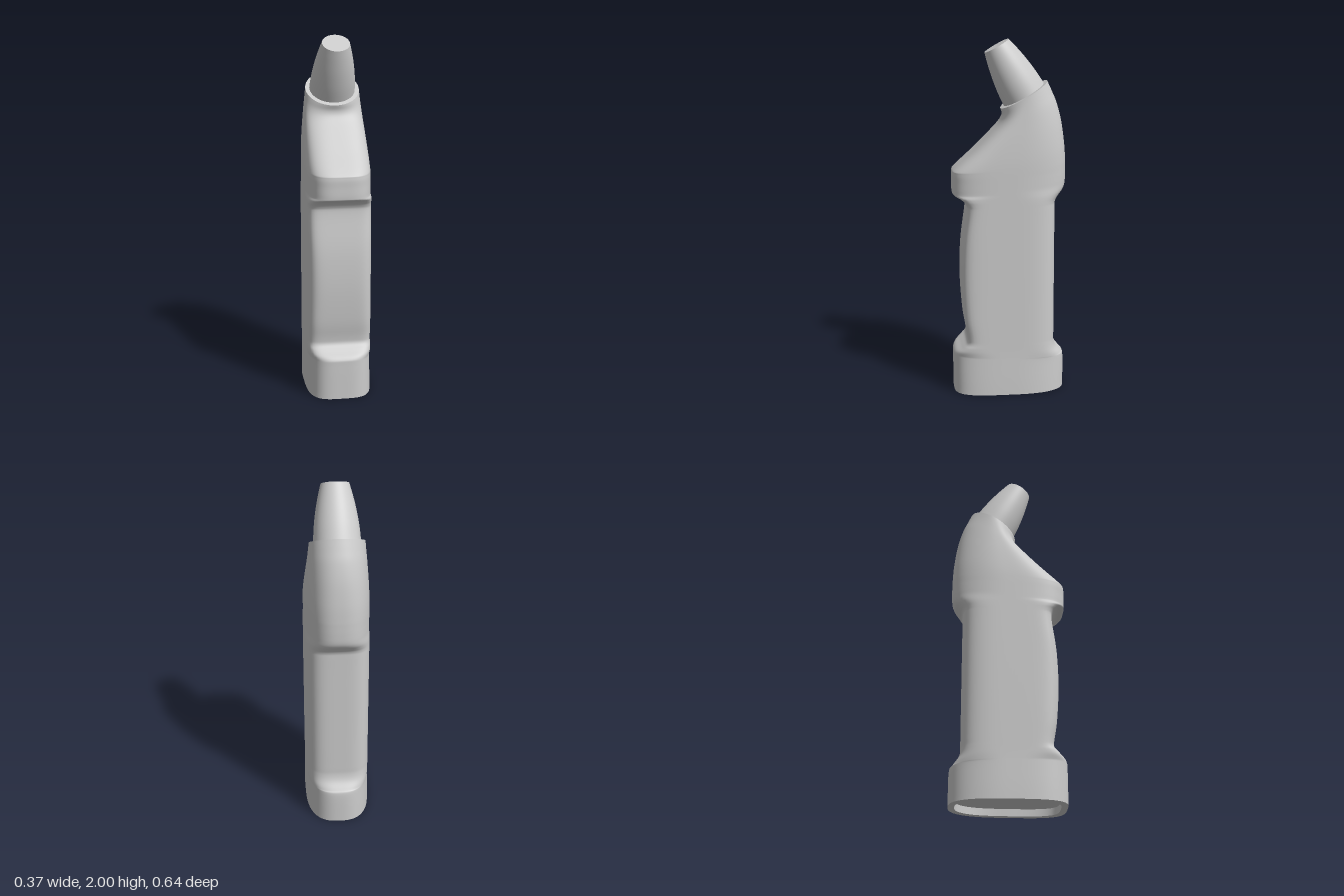
import * as THREE from 'three';

const SIDES = 112;
const { clamp, smoothstep } = THREE.MathUtils;

// Side profile going up: [front y, front z, back y, back z]
const profile = [
  [0, 0.32, 0, -0.315],
  [0.19, 0.32, 0.18, -0.314],
  [0.235, 0.315, 0.21, -0.30],
  [0.27, 0.275, 0.25, -0.268],
  [0.30, 0.246, 0.29, -0.255],
  [0.34, 0.245, 0.34, -0.254],
  [0.45, 0.262, 0.45, -0.254],
  [0.65, 0.275, 0.65, -0.254],
  [0.85, 0.269, 0.85, -0.254],
  [1.05, 0.243, 1.06, -0.254],
  [1.10, 0.247, 1.11, -0.256],
  [1.13, 0.275, 1.14, -0.275],
  [1.148, 0.313, 1.17, -0.301],
  [1.165, 0.32, 1.20, -0.314],
  [1.22, 0.32, 1.25, -0.317],
  [1.27, 0.319, 1.30, -0.317],
  [1.295, 0.304, 1.34, -0.316],
  [1.39, 0.20, 1.43, -0.31],
  [1.485, 0.105, 1.55, -0.293],
  [1.545, 0.052, 1.65, -0.267],
  [1.585, 0.036, 1.715, -0.24],
  [1.62, 0.045, 1.77, -0.215],
];

// One ring of points: a squared oval, boxier where the grip is recessed, round at the collar
function ring([yf, zf, yb, zb], inset = 0) {
  const hood = clamp((yf - 1.25) / 0.37, 0, 1);
  const grip = yf < 1.2 ? 1 : 0;
  const frontPower = 3.7 - 1.7 * hood ** 3 + grip * 4.3 * clamp((0.32 - zf) / 0.06, 0, 1);
  const backPower = 2.65 - 0.65 * hood ** 2 + grip * 1.35 * clamp((0.315 + zb) / 0.06, 0, 1);
  const width = 0.184 - 0.005 * smoothstep(yf, 0, 0.3) - 0.029 * hood ** 2 - inset;
  const zc = -0.085 * hood;
  return Array.from({ length: SIDES }, (_, j) => {
    const a = (j / SIDES) * Math.PI * 2;
    const s = Math.sin(a), c = Math.cos(a);
    const n = c > 0 ? frontPower : backPower;
    const r = (Math.abs(s) ** n + Math.abs(c) ** n) ** (-1 / n);
    const z = zc + r * c * (c > 0 ? zf - inset - zc : zc - zb - inset);
    return new THREE.Vector3(width * r * s, yb + ((yf - yb) * (z - zb)) / (zf - zb), z);
  });
}

const collapsed = (y, z) => Array.from({ length: SIDES }, () => new THREE.Vector3(0, y, z));

// Skin between successive closed rings
function loft(rings) {
  const index = [];
  for (let i = 0; i < rings.length - 1; i++) {
    for (let j = 0; j < SIDES; j++) {
      const a = i * SIDES + j, b = i * SIDES + ((j + 1) % SIDES);
      index.push(a, b, b + SIDES, a, b + SIDES, a + SIDES);
    }
  }
  const geo = new THREE.BufferGeometry().setFromPoints(rings.flat());
  geo.setIndex(index);
  geo.computeVertexNormals();
  return geo;
}

// Rings smoothly interpolated along the front and back profile curves
function bodyRings(steps) {
  const curve = (k) => new THREE.CatmullRomCurve3(
    profile.map((p) => new THREE.Vector3(0, p[k], p[k + 1])), false, 'catmullrom', 0.5);
  const front = curve(0), back = curve(2);
  return Array.from({ length: steps + 1 }, (_, i) => {
    const f = front.getPoint(i / steps), b = back.getPoint(i / steps);
    return ring([f.y, f.z, b.y, b.z]);
  });
}

export function createModel() {
  const group = new THREE.Group();
  const material = new THREE.MeshStandardMaterial({ color: 0xcccccc });
  const add = (name, geometry, parent = group) => {
    const mesh = new THREE.Mesh(geometry, material);
    mesh.name = name;
    parent.add(mesh);
    return mesh;
  };

  // Handle, finger recess and hood in one smooth skin
  add('body', loft(bodyRings((profile.length - 1) * 5)));

  // Hollow foot: flat rim, short inner wall and recessed floor
  const depth = 0.04;
  const foot = ring(profile[0]);
  const rimInner = ring(profile[0], 0.035);
  const floorEdge = rimInner.map((p) => p.clone().setY(depth));
  add('footRim', loft([rimInner, foot]));
  add('footWall', loft([floorEdge, rimInner]));
  add('footFloor', loft([collapsed(depth, 0), floorEdge]));

  // Tilted collar face closing the hood
  add('collarFace', loft([ring(profile.at(-1)), collapsed(1.695, -0.085)]));

  // Tapered probe leaning forward out of the collar
  const probe = new THREE.Group();
  probe.name = 'probe';
  probe.position.set(0, 1.695, -0.085);
  probe.rotation.x = 0.512;
  group.add(probe);
  const taper = new THREE.SplineCurve(
    [[0.127, 0], [0.121, 0.08], [0.108, 0.17], [0.091, 0.25], [0.076, 0.307]]
      .map((p) => new THREE.Vector2(...p)));
  add('probeCone', new THREE.LatheGeometry(taper.getPoints(16), 64), probe);
  const tip = add('probeTip', new THREE.CircleGeometry(0.076, 64).rotateX(-Math.PI / 2), probe);
  tip.position.y = 0.307;

  return group;
}
